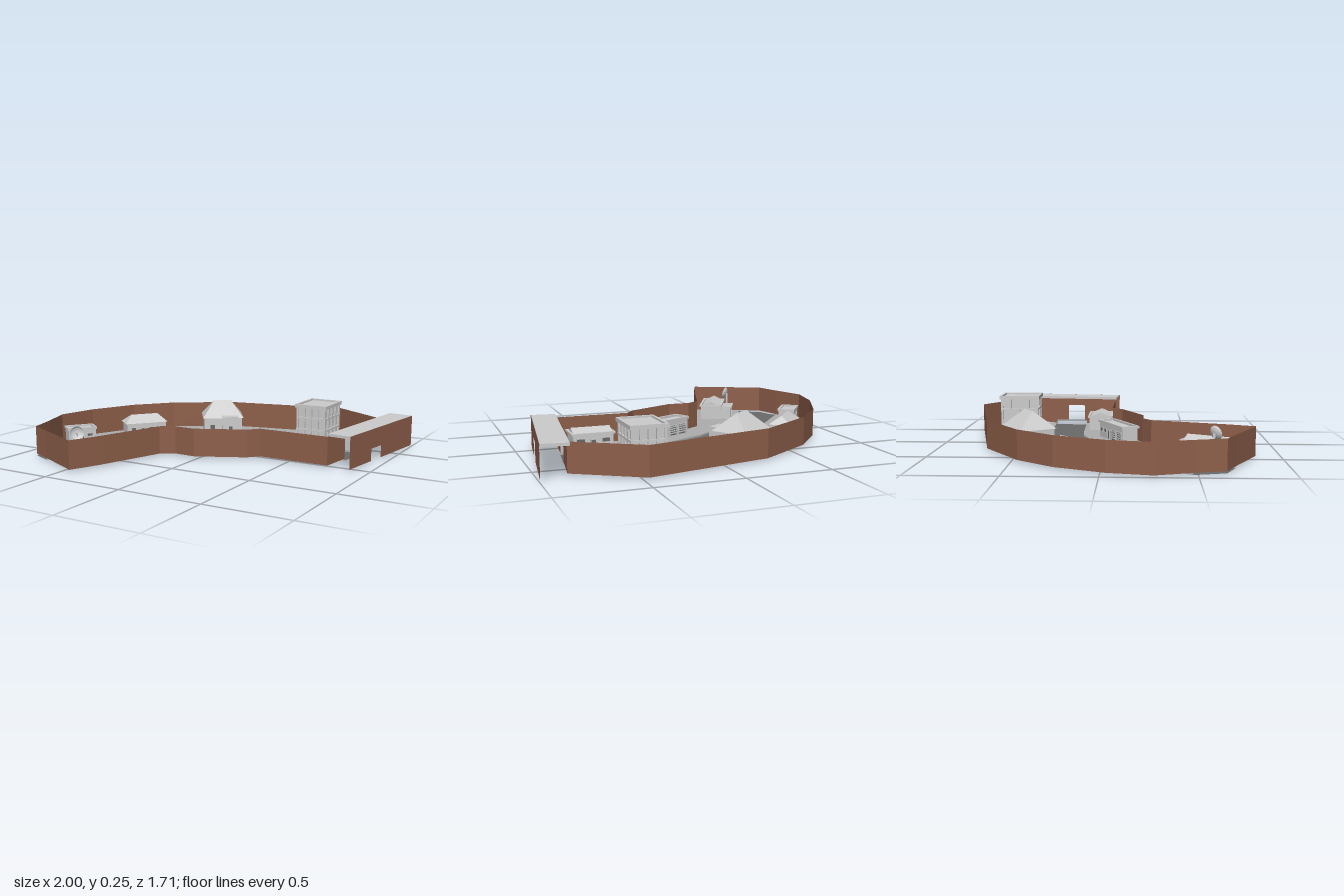
import * as THREE from 'three';
import { ConvexGeometry } from 'three/addons/geometries/ConvexGeometry.js';

const material = (color) => new THREE.MeshStandardMaterial({ color, flatShading: true, side: THREE.DoubleSide });
const G = 0.011; // pavement level
const WALL_TOP = 0.18;

export function createModel() {
  const root = new THREE.Group();
  const grey = material(0xcccccc), brick = material(0x8e5f4a), paving = material(0xaeaeae), asphalt = material(0x6a6a6a);

  const add = (parent, name, geometry, mat = grey) => {
    const mesh = new THREE.Mesh(geometry, mat);
    mesh.name = name;
    parent.add(mesh);
    return mesh;
  };
  const box = (parent, name, w, h, d, x, y, z, mat) => {
    const mesh = add(parent, name, new THREE.BoxGeometry(w, h, d), mat);
    mesh.position.set(x, y + h / 2, z); // y is the underside
    return mesh;
  };
  // Plan outlines are [x, z] pairs
  const planShape = (pts) => new THREE.Shape(pts.map(([x, z]) => new THREE.Vector2(x, -z)));
  const flat = (name, pts, y, mat) =>
    add(root, name, new THREE.ShapeGeometry(planShape(pts)).rotateX(-Math.PI / 2).translate(0, y, 0), mat);
  // Thin upright sheet following a plan line
  const fence = (name, pts, y0, y1, mat) => {
    const pos = [], idx = [];
    pts.forEach(([x, z], i) => {
      pos.push(x, y0, z, x, y1, z);
      if (i) idx.push(2 * i - 2, 2 * i, 2 * i - 1, 2 * i - 1, 2 * i, 2 * i + 1);
    });
    const g = new THREE.BufferGeometry();
    g.setAttribute('position', new THREE.Float32BufferAttribute(pos, 3));
    g.setIndex(idx);
    g.computeVertexNormals();
    return add(root, name, g, mat);
  };

  // Plan: perimeter on both sides of the road, and the road edges
  const outer = [[0.84, -0.63], [0.47, -0.855], [-0.275, -0.695], [-0.625, -0.465], [-0.81, -0.25], [-0.945, 0.03], [-1, 0.275], [-0.93, 0.475]];
  const inner = [[-0.755, 0.705], [-0.455, 0.85], [-0.385, 0.69], [-0.24, 0.27], [-0.16, 0.22], [-0.025, 0.225], [0.26, 0.09], [0.315, 0.025], [0.75, 0.03]];
  const farEdge = [[0.805, -0.39], [0.38, -0.385], [0.17, -0.365], [-0.02, -0.31], [-0.235, -0.195], [-0.5, -0.03], [-0.93, 0.475]];
  const nearEdge = [[0.775, -0.175], [0.38, -0.17], [0.23, -0.16], [0.1, -0.115], [-0.17, 0.015], [-0.3, 0.11], [-0.405, 0.205], [-0.755, 0.705]];
  const roadEnd = [-0.88, 0.65];

  flat('outerPavement', [...outer, ...[...farEdge].reverse().slice(1)], G, paving);
  flat('innerPavement', [...inner, ...nearEdge.slice(0, -1)], G, paving);
  flat('road', [...farEdge, roadEnd, ...[...nearEdge].reverse()], 0, asphalt);
  fence('outerKerb', farEdge, 0, G, paving);
  fence('innerKerb', nearEdge, 0, G, paving);
  fence('perimeterWall', [...outer, roadEnd, ...inner], G, WALL_TOP, brick);

  // Gatehouse: inner wall, outer wall with doorway, flat roof
  fence('gateInnerWall', [outer[0], farEdge[0]], G, WALL_TOP, brick);
  fence('gateInnerWall', [nearEdge[0], inner[8]], G, WALL_TOP, brick);
  fence('gateLintel', [farEdge[0], nearEdge[0]], 0.14, WALL_TOP, brick);
  const a = [0.895, 0.055], b = [1, -0.73];
  const along = (z) => [a[0] + (b[0] - a[0]) * (z - a[1]) / (b[1] - a[1]), z];
  fence('gateOuterWall', [a, along(-0.2)], G, 0.2, brick);
  fence('gateOuterWall', [along(-0.32), b], G, 0.2, brick);
  fence('gateOuterLintel', [along(-0.2), along(-0.32)], 0.12, 0.2, brick);
  const gateRoof = new THREE.ExtrudeGeometry(planShape([[0.85, -0.75], [0.998, -0.73], [0.893, 0.053], [0.755, 0.035]]), { depth: 0.016, bevelEnabled: false });
  add(root, 'gateRoof', gateRoof.rotateX(-Math.PI / 2).translate(0, 0.184, 0));

  // Buildings: local +z is the street front
  const building = (name, x, z, turn) => {
    const g = new THREE.Group();
    g.name = name;
    g.position.set(x, G, z);
    g.rotation.y = turn;
    root.add(g);
    return g;
  };
  // Raised border around a flat roof
  const rim = (g, w, d, y, h, t, x = 0, z = 0) => {
    for (const s of [-1, 1]) {
      box(g, 'parapet', w, h, t, x, y, z + s * (d - t) / 2);
      box(g, 'parapet', t, h, d - 2 * t, x + s * (w - t) / 2, y, z);
    }
  };
  // Pitched roof; a ridge as long as the eaves makes a gable
  const pitched = (g, w, d, ridge, y, rise) => {
    const pts = [];
    for (const sx of [-1, 1]) {
      for (const sz of [-1, 1]) pts.push(new THREE.Vector3(sx * w / 2, y, sz * d / 2));
      pts.push(new THREE.Vector3(sx * ridge / 2, y + rise, 0));
    }
    add(g, 'roof', new ConvexGeometry(pts));
  };
  // Framed opening on a face at depth z
  const opening = (g, name, x, y, w, h, z) => {
    const t = 0.005;
    for (const s of [-1, 1]) {
      box(g, name + 'Frame', t, h, t, x + s * (w - t) / 2, y, z);
      box(g, name + 'Frame', w - 2 * t, t, t, x, s < 0 ? y : y + h - t, z);
    }
    box(g, name, w - 2 * t, h - 2 * t, 0.001, x, y + t, z, asphalt);
  };
  const windows = (g, xs, y, w, h, d) => xs.forEach((x) => {
    for (const s of [-1, 1]) opening(g, 'window', x, y, w, h, s * d / 2);
  });

  // Tall block: core with floor slabs and a grid of columns
  const tower = building('towerBlock', 0.422, -0.59, 0);
  box(tower, 'core', 0.175, 0.222, 0.22, 0, 0, 0);
  for (let f = 0; f < 3; f++) {
    box(tower, 'floorSlab', 0.2, 0.012, 0.245, 0, f * 0.075, 0);
    for (let i = 0; i <= 4; i++) for (const s of [-1, 1]) {
      box(tower, 'column', 0.012, 0.075, 0.012, -0.093 + i * 0.0465, f * 0.075, s * 0.116);
      box(tower, 'column', 0.012, 0.075, 0.012, s * 0.093, f * 0.075, -0.116 + i * 0.058);
    }
  }
  box(tower, 'roofSlab', 0.215, 0.012, 0.26, 0, 0.222, 0);
  rim(tower, 0.215, 0.26, 0.234, 0.01, 0.016);

  // Hall with steep hipped roof and entrance block
  const hall = building('hall', -0.222, -0.455, 0.585);
  box(hall, 'walls', 0.25, 0.12, 0.215, 0, 0, 0);
  pitched(hall, 0.27, 0.234, 0.11, 0.12, 0.104);
  box(hall, 'entranceBlock', 0.105, 0.135, 0.085, 0.045, 0, 0.115);
  box(hall, 'step', 0.07, 0.02, 0.03, 0.045, 0, 0.17);
  opening(hall, 'door', 0.045, 0.02, 0.035, 0.06, 0.159);
  for (const y of [0.095, 0.112]) box(hall, 'band', 0.08, 0.005, 0.004, 0.045, y, 0.159);
  opening(hall, 'window', -0.07, 0.04, 0.04, 0.04, 0.109);

  // House with low hipped roof
  const house = building('hippedHouse', -0.658, -0.16, 0.878);
  box(house, 'walls', 0.265, 0.085, 0.12, 0, 0, 0);
  pitched(house, 0.285, 0.138, 0.18, 0.085, 0.05);
  windows(house, [-0.09, 0.03, 0.09], 0.03, 0.038, 0.03, 0.122);
  opening(house, 'door', -0.03, 0, 0.03, 0.055, 0.061);

  // Small flat-roofed store
  const store = building('smallStore', -0.89, 0.227, 0.927);
  box(store, 'walls', 0.175, 0.085, 0.1, 0, 0, 0);
  rim(store, 0.187, 0.112, 0.08, 0.015, 0.014);
  windows(store, [-0.05, 0.05], 0.032, 0.04, 0.026, 0.102);
  opening(store, 'door', 0, 0, 0.028, 0.055, 0.051);

  // Station with annex and round dish
  const station = building('dishStation', -0.485, 0.59, 1.08 + Math.PI);
  box(station, 'walls', 0.275, 0.09, 0.13, 0, 0, 0);
  rim(station, 0.295, 0.152, 0.085, 0.012, 0.014);
  pitched(station, 0.267, 0.124, 0.267, 0.09, 0.03);
  windows(station, [-0.09, 0, 0.09], 0.035, 0.045, 0.03, 0.132);
  box(station, 'annex', 0.12, 0.08, 0.075, -0.055, 0, 0.1);
  rim(station, 0.135, 0.085, 0.076, 0.012, 0.01, -0.055, 0.102);
  opening(station, 'door', -0.055, 0, 0.035, 0.055, 0.138);
  const dish = building('dish', -0.6, 0.605, 0);
  box(dish, 'post', 0.012, 0.07, 0.012, 0, 0.08, 0);
  const bowl = [[0, 0], [0.02, 0.003], [0.033, 0.009], [0.042, 0.018]].map(([r, y]) => new THREE.Vector2(r, y));
  const head = new THREE.Group();
  head.name = 'dishHead';
  head.position.set(0, 0.147, 0);
  head.quaternion.setFromUnitVectors(new THREE.Vector3(0, 1, 0), new THREE.Vector3(1, 0.35, 1).normalize());
  dish.add(head);
  add(head, 'bowl', new THREE.LatheGeometry(bowl, 16));
  add(head, 'feed', new THREE.CylinderGeometry(0.003, 0.003, 0.03, 6)).position.y = 0.015;

  // Long garage with flat roof and slatted doors
  const garage = building('garage', 0.075, 0.067, 0.457 + Math.PI);
  box(garage, 'walls', 0.35, 0.095, 0.1, 0, 0, 0);
  rim(garage, 0.366, 0.115, 0.092, 0.016, 0.014);
  for (const x of [0.125, 0.045]) {
    opening(garage, 'garageDoor', x, 0, 0.07, 0.07, 0.052);
    for (let i = 1; i < 5; i++) box(garage, 'slat', 0.06, 0.008, 0.004, x, i * 0.0135, 0.053);
  }
  opening(garage, 'door', -0.03, 0, 0.032, 0.06, 0.052);
  windows(garage, [-0.08, -0.135], 0.035, 0.04, 0.03, 0.102);

  // Gabled shop beside the gate
  const shop = building('gabledShop', 0.57, -0.063, Math.PI);
  box(shop, 'walls', 0.24, 0.09, 0.145, 0, 0, 0);
  rim(shop, 0.262, 0.165, 0.085, 0.012, 0.014);
  pitched(shop, 0.234, 0.137, 0.234, 0.09, 0.03);
  windows(shop, [-0.075, 0.075], 0.035, 0.055, 0.032, 0.147);
  opening(shop, 'door', 0, 0, 0.035, 0.06, 0.074);

  return root;
}
